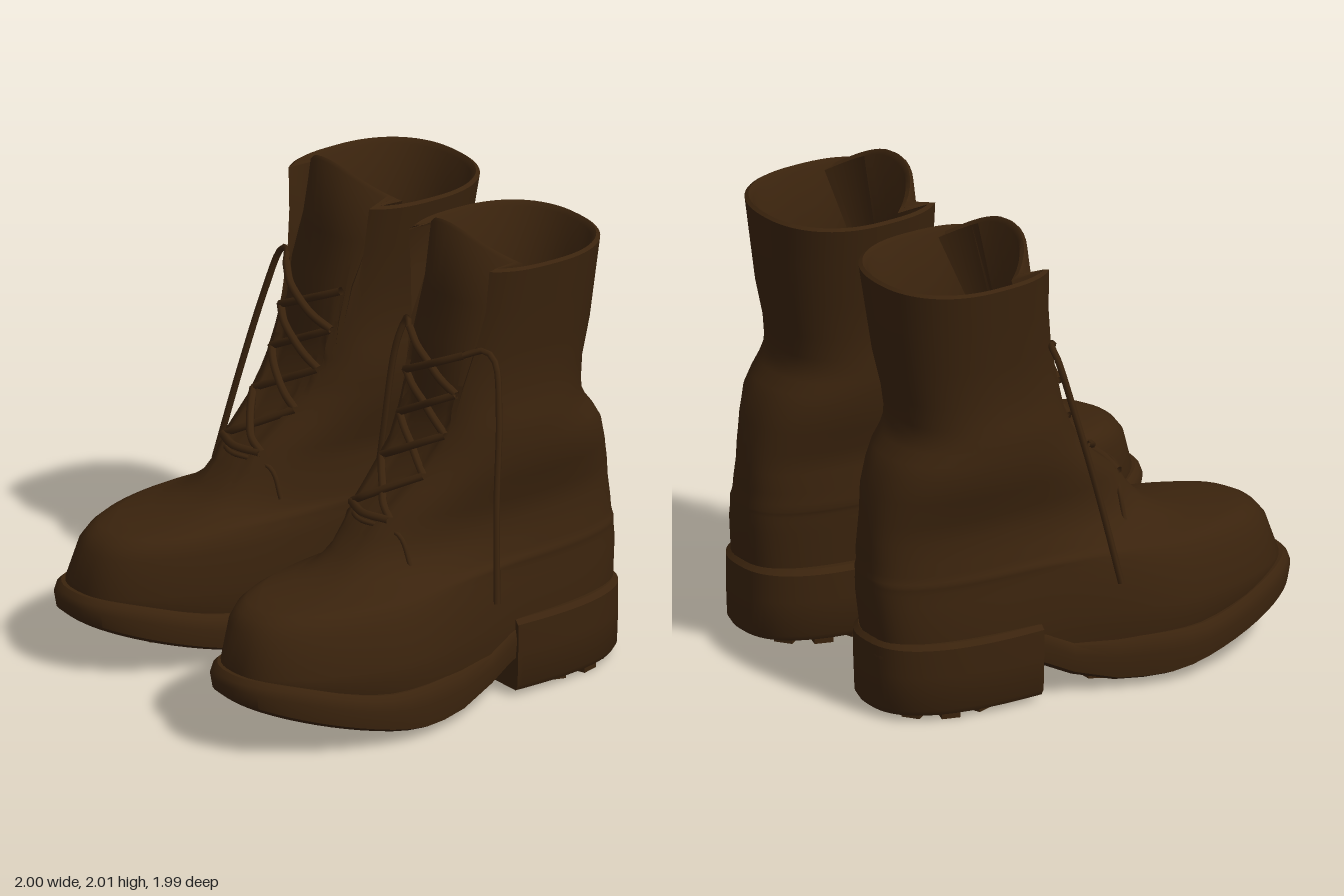
import * as THREE from 'three';
import { toCreasedNormals } from 'three/addons/utils/BufferGeometryUtils.js';

const N = 72;
const lerp = THREE.MathUtils.lerp;
const smooth = THREE.MathUtils.smoothstep;
const spow = (v, e) => Math.sign(v) * Math.pow(Math.abs(v), e);

// foot slices: y, back z, front z, inner/outer x at heel, inner/outer x at ball
const FOOT = [
  [0.18, -0.95, 0.80, 0.19, 0.76, 0.18, 0.91],
  [0.27, -0.96, 0.94, 0.18, 0.77, 0.17, 0.92],
  [0.34, -0.97, 0.95, 0.18, 0.77, 0.17, 0.915],
  [0.50, -0.985, 0.90, 0.17, 0.76, 0.17, 0.88],
  [0.55, -0.985, 0.86, 0.17, 0.75, 0.18, 0.855],
  [0.575, -0.985, 0.81, 0.17, 0.75, 0.19, 0.84],
  [0.59, -0.985, 0.72, 0.17, 0.75, 0.19, 0.82],
  [0.60, -0.985, 0.55, 0.17, 0.74, 0.20, 0.80],
  [0.63, -0.98, 0.43, 0.18, 0.73, 0.20, 0.77],
  [0.68, -0.98, 0.34, 0.18, 0.72, 0.20, 0.72],
];
// ankle and shaft slices: y, back z, front z, inner x, outer x
const SHAFT = [
  [0.76, -0.975, 0.27, 0.195, 0.70],
  [0.85, -0.965, 0.21, 0.19, 0.71],
  [0.95, -0.945, 0.09, 0.15, 0.74],
  [1.05, -0.915, 0.00, 0.14, 0.76],
  [1.11, -0.88, -0.035, 0.13, 0.76],
  [1.16, -0.84, -0.06, 0.13, 0.76],
  [1.21, -0.815, -0.08, 0.13, 0.755],
  [1.26, -0.815, -0.09, 0.135, 0.745],
  [1.36, -0.83, -0.105, 0.14, 0.73],
  [1.52, -0.865, -0.135, 0.12, 0.74],
  [1.70, -0.885, -0.15, 0.09, 0.76],
  [1.88, -0.905, -0.155, 0.06, 0.78],
];
// inside of the shaft, from the rim down to the insole
const INNER = [
  [1.89, -0.89, -0.17, 0.075, 0.765],
  [1.87, -0.87, -0.19, 0.095, 0.745],
  [1.50, -0.82, -0.18, 0.16, 0.70],
  [1.20, -0.775, -0.16, 0.19, 0.69],
  [0.80, -0.80, -0.14, 0.23, 0.66],
  [0.45, -0.80, -0.12, 0.24, 0.66],
];
// a slice without its own ball width is equally wide throughout
const even = (p) => [...p, p[3], p[4]];
const UPPER = [...FOOT, ...SHAFT.map(even)];
const LINING = INNER.map(even);
const SOLE = [0, -0.99, 1.0, 0.165, 0.78, 0.14, 0.95];
const HEEL = even([0, -0.99, 0.3, 0.15, 0.79]);

const frontN = (p) => 3.05 - 0.33 * (p[2] - p[1]);
const backN = (p) => 1.9 + 0.5 * (p[2] - p[1]);

// rounded outline point at angle t (0 = front, quarter turn = outer side)
function outline(p, t, grow = 0) {
  const c = Math.cos(t), s = Math.sin(t);
  const e = 2 / (c > 0 ? frontN(p) : backN(p));
  const z = (p[1] + p[2]) / 2 + ((p[2] - p[1]) / 2 + grow) * spow(c, e);
  const k = smooth(z, -0.4, 0.4);
  const a = lerp(p[3], p[5], k) - grow, b = lerp(p[4], p[6], k) + grow;
  return new THREE.Vector3((a + b) / 2 + (b - a) / 2 * spow(s, e), p[0], z);
}

// slice at any height, and front surface point for laces and seams
function sliceAt(y) {
  let i = 0;
  while (i < UPPER.length - 2 && UPPER[i + 1][0] < y) i++;
  const a = UPPER[i], b = UPPER[i + 1], k = (y - a[0]) / (b[0] - a[0]);
  return a.map((v, j) => lerp(v, b[j], k));
}
function onFront(dx, y, lift = 0) {
  const p = sliceAt(y), n = frontN(p), s = Math.min(1, Math.abs(dx) / ((p[4] - p[3]) / 2));
  const z = (p[1] + p[2]) / 2 + (p[2] - p[1]) / 2 * Math.pow(1 - Math.pow(s, n), 1 / n);
  return [(p[3] + p[4]) / 2 + dx, y, z + lift];
}

// skin a stack of rings; capped ends are strips across the ring
function loft(rows, side, capBottom, crease) {
  const pos = [], idx = [];
  const tri = (a, b, c) => side > 0 ? idx.push(a, b, c) : idx.push(a, c, b);
  rows.forEach((r) => r.forEach((v) => pos.push(v.x * side, v.y, v.z)));
  for (let r = 0; r < rows.length - 1; r++) for (let i = 0; i < N; i++) {
    const a = r * N + i, b = r * N + (i + 1) % N;
    tri(a, b, b + N);
    tri(a, b + N, a + N);
  }
  const cap = (o, up) => {
    for (let i = 0; i < N / 2; i++) {
      const q = [i, i + 1, N - i - 1, (N - i) % N].map((v) => v + o);
      if (!up) q.reverse();
      tri(q[0], q[1], q[2]);
      tri(q[0], q[2], q[3]);
    }
  };
  if (capBottom) cap(0, false);
  cap((rows.length - 1) * N, true);
  const g = new THREE.BufferGeometry();
  g.setAttribute('position', new THREE.Float32BufferAttribute(pos, 3));
  g.setIndex(idx);
  return toCreasedNormals(g, crease);
}
const ring = (f) => Array.from({ length: N }, (_, i) => f(i / N * Math.PI * 2));

// tongue is set back between the eyestays and stands above the rim
function withTongue(p, t) {
  const v = outline(p, t), y = p[0];
  const w = lerp(0.09, 0.27, smooth(y, 0.8, 1.9)), d = Math.abs(v.x - (p[3] + p[4]) / 2) / w;
  if (y > 0.84 && d < 1 && Math.cos(t) > 0) {
    v.z -= 0.025 + (0.05 + 0.06 * d * d) * smooth(y, 1.5, 1.88);
    if (y > 1.8) v.y += 0.115 * (1 - d * d);
  }
  return v;
}

// sole underside with toe spring and a raised arch, and welt height
const soleBottom = (z) => 0.025 + 0.2 * Math.pow(Math.max(0, (z - 0.2) / 0.8), 1.4)
  + 0.15 * Math.pow(Math.max(0, Math.min(1, (0.1 - z) / 0.45)), 2);
const weltTop = (z) => 0.22 + 0.12 * smooth(z, 0.35, 1) + 0.12 * smooth(-z, 0.1, 0.4);

function boot(side, leather) {
  const g = new THREE.Group();
  g.name = side > 0 ? 'leftBoot' : 'rightBoot';
  const add = (geo, name) => {
    const m = new THREE.Mesh(geo, leather);
    m.name = name;
    g.add(m);
    return m;
  };
  const tube = (pts, r, name) => add(new THREE.TubeGeometry(new THREE.CatmullRomCurve3(
    pts.map((p) => new THREE.Vector3(p[0] * side, p[1], p[2]))), 28, r, 6), name);

  add(loft([...UPPER, ...LINING].map((p) => ring((t) => withTongue(p, t))), side, false, 1.05), 'upper');

  // sole and heel
  const soleRow = (grow, f) => ring((t) => {
    const v = outline(SOLE, t, grow);
    v.y = f(v.z);
    return v;
  });
  add(loft([
    soleRow(-0.05, soleBottom),
    soleRow(-0.01, (z) => soleBottom(z) + 0.02),
    soleRow(0, (z) => lerp(soleBottom(z), weltTop(z), 0.6)),
    soleRow(-0.01, (z) => weltTop(z) - 0.02),
    soleRow(-0.03, weltTop),
    soleRow(-0.09, weltTop),
  ], side, true, 0.75), 'sole');
  const heelRow = (y, grow) => ring((t) => {
    const v = outline(HEEL, t, grow);
    return v.set(v.x, y, Math.min(v.z, -0.32));
  });
  add(loft([heelRow(0.025, -0.02), heelRow(0.05, -0.005), heelRow(0.2, 0), heelRow(0.32, 0), heelRow(0.34, -0.02)],
    side, true, 0.75), 'heel');

  // tread
  for (let z = -0.05; z < 0.85; z += 0.15) {
    const w = 0.6 * Math.sqrt(1 - Math.pow(Math.max(0, z), 2));
    const bar = add(new THREE.BoxGeometry(w, 0.02, 0.08), 'soleTread');
    bar.position.set(side * lerp(0.47, 0.54, smooth(z, -0.1, 0.5)), soleBottom(z) + 0.001, z);
    bar.rotation.x = -Math.atan((soleBottom(z + 0.02) - soleBottom(z - 0.02)) / 0.04);
  }
  for (let i = 0; i < 10; i++) {
    const a = i / 10 * Math.PI * 2;
    const lug = add(new THREE.BoxGeometry(0.08, 0.025, 0.13), 'heelTread');
    lug.position.set(side * (0.47 + 0.2 * Math.sin(a)), 0.0125, -0.65 + 0.21 * Math.cos(a));
    lug.rotation.y = a * side;
  }

  // seam at the base of the lacing
  tube([[-0.23, 0.66], [-0.17, 0.78], [0, 0.81], [0.17, 0.78], [0.23, 0.66]]
    .map(([x, y]) => onFront(x, y, -0.003)), 0.011, 'vampSeam');

  // crossed laces
  const levels = [0.84, 1.0, 1.16, 1.33, 1.5];
  const half = (i) => 0.13 + 0.015 * i;
  tube([-1, 0, 1].map((k) => onFront(k * half(0), levels[0], 0.006)), 0.018, 'laceBar');
  for (let i = 0; i < levels.length - 1; i++) for (const s of [-1, 1]) {
    tube([0, 0.25, 0.5, 0.75, 1].map((k) => onFront(
      s * lerp(-half(i), half(i + 1), k), lerp(levels[i], levels[i + 1], k),
      (s > 0 ? 0.012 : -0.012) * Math.sin(k * Math.PI))), 0.018, 'lace');
  }
  // loose lace ends
  tube([onFront(half(4), 1.5, 0.005), [0.69, 1.53, -0.22], [0.75, 1.5, -0.23], [0.82, 1.3, -0.2],
    [0.9, 0.93, -0.13], [0.985, 0.54, -0.07]], 0.014, 'outerLaceEnd');
  if (side > 0) tube([onFront(-half(4), 1.5, 0.005), [0.18, 1.52, -0.2], [0.145, 1.4, -0.17],
    [0.12, 1.0, -0.12], [0.085, 0.46, -0.07]], 0.014, 'innerLaceEnd');
  return g;
}

export function createModel() {
  const leather = new THREE.MeshStandardMaterial({ color: 0x3a230d });
  leather.name = 'darkBrownLeather';
  leather.side = THREE.DoubleSide;
  const model = new THREE.Group();
  model.name = 'laceUpBoots';
  for (const side of [1, -1]) model.add(boot(side, leather));
  return model;
}
